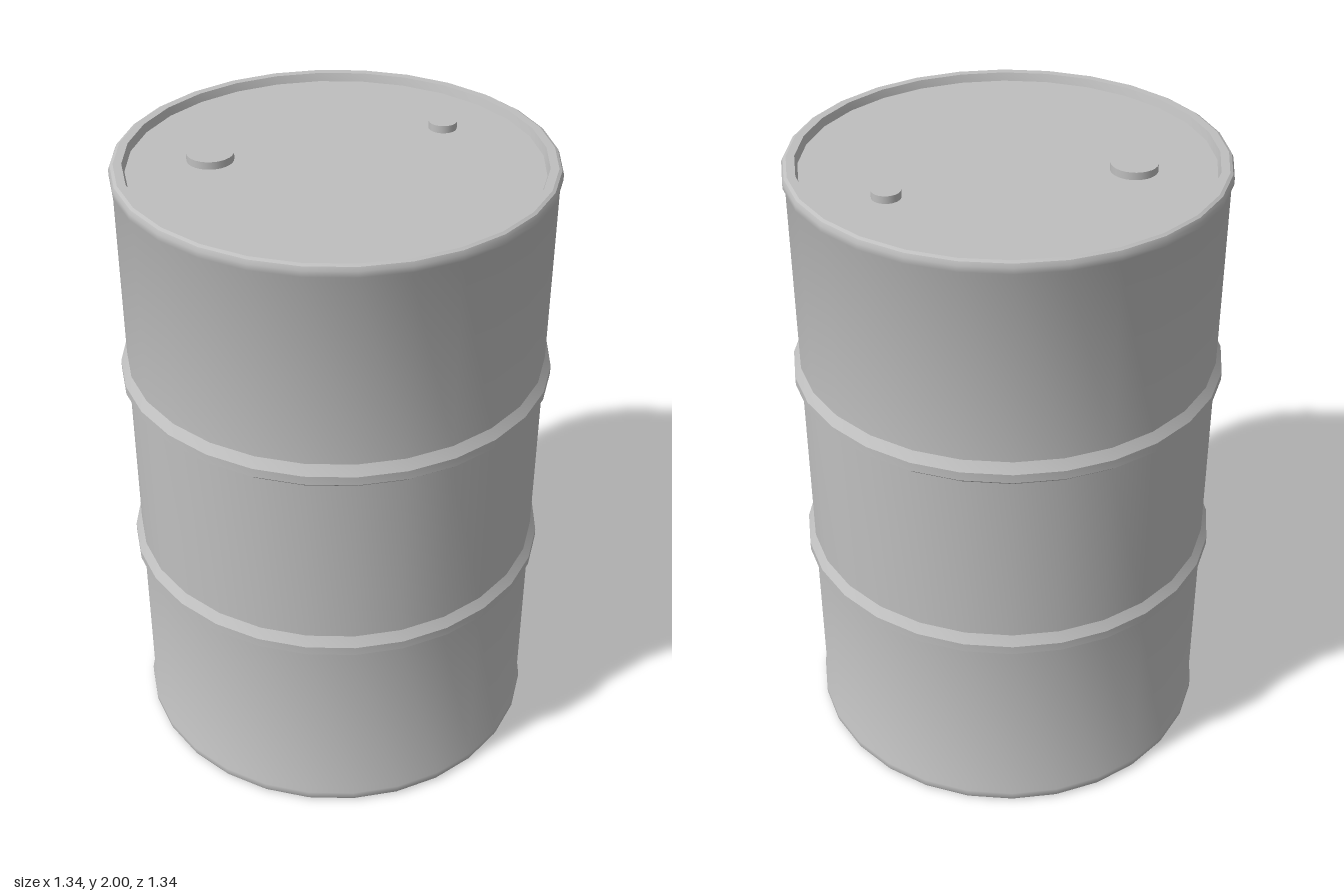
import * as THREE from 'three';
import { toCreasedNormals } from 'three/addons/utils/BufferGeometryUtils.js';

const SIDES = 28;

export function createModel() {
  const model = new THREE.Group();
  model.name = 'drum';
  const steel = new THREE.MeshStandardMaterial({ color: 0xbfbfbf });
  steel.name = 'grey steel';

  const add = (name, geometry) => {
    const mesh = new THREE.Mesh(geometry, steel);
    mesh.name = name;
    model.add(mesh);
    return mesh;
  };

  // raised rolling hoop with bevelled edges, starting at height y
  const hoop = (y) => [[0.65, y], [0.67, y + 0.017], [0.67, y + 0.045], [0.65, y + 0.075]];

  // drum shell: flat base, bottom chime, two hoops, top chime and recessed lid
  const profile = [
    [0, 0], [0.643, 0], [0.652, 0.005], [0.657, 0.016], [0.657, 0.034], [0.65, 0.05],
    ...hoop(0.645),
    ...hoop(1.291),
    [0.65, 1.95], [0.657, 1.966], [0.657, 1.984], [0.652, 1.995], [0.643, 2],
    [0.618, 2], [0.611, 1.975], [0, 1.975],
  ].map(([r, y]) => new THREE.Vector2(r, y));
  add('drumShell', toCreasedNormals(new THREE.LatheGeometry(profile, SIDES), 0.5));

  // filler and vent caps on the lid
  for (const [name, x, radius] of [['fillerCap', -0.34, 0.07], ['ventCap', 0.385, 0.043]]) {
    add(name, new THREE.CylinderGeometry(radius, radius, 0.024, SIDES)).position.set(x, 1.986, -0.14);
  }

  return model;
}
